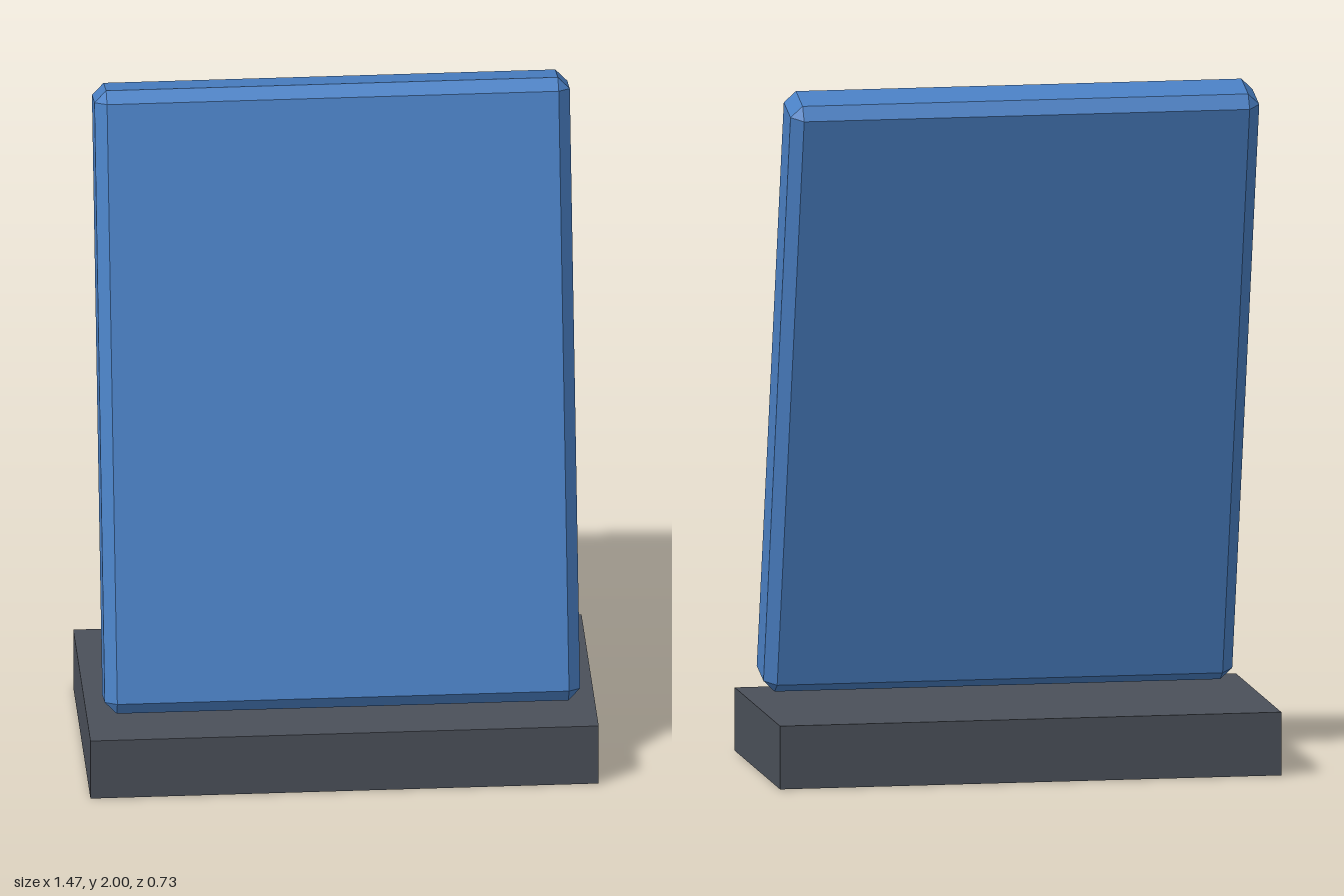
import * as THREE from 'three';
import { ConvexGeometry } from 'three/addons/geometries/ConvexGeometry.js';

// Box with every edge and corner cut by a flat chamfer
function chamferedBox(width, height, depth, cut) {
  const half = [width / 2, height / 2, depth / 2];
  const points = [];
  for (const sx of [-1, 1]) for (const sy of [-1, 1]) for (const sz of [-1, 1]) {
    const signs = [sx, sy, sz];
    // three points per corner, one on each adjoining face
    for (let face = 0; face < 3; face++) {
      const p = half.map((h, axis) => signs[axis] * (axis === face ? h : h - cut));
      points.push(new THREE.Vector3(...p));
    }
  }
  return new ConvexGeometry(points);
}

export function createModel() {
  const model = new THREE.Group();
  model.name = 'tiltedPanelOnBase';

  const panelBlue = new THREE.MeshStandardMaterial({ color: 0x4a80c4 });
  panelBlue.name = 'panelBlue';
  const baseGrey = new THREE.MeshStandardMaterial({ color: 0x4b5059 });
  baseGrey.name = 'baseGrey';

  // Flat rectangular base
  const base = new THREE.Mesh(new THREE.BoxGeometry(1.465, 0.184, 0.732), baseGrey);
  base.name = 'base';
  base.position.y = 0.092;
  model.add(base);

  // Panel leaning backwards just above the base
  const panel = new THREE.Mesh(chamferedBox(1.37, 1.83, 0.18, 0.034), panelBlue);
  panel.name = 'panel';
  panel.position.y = 1.1;
  panel.rotation.x = -0.25;
  model.add(panel);

  return model;
}
